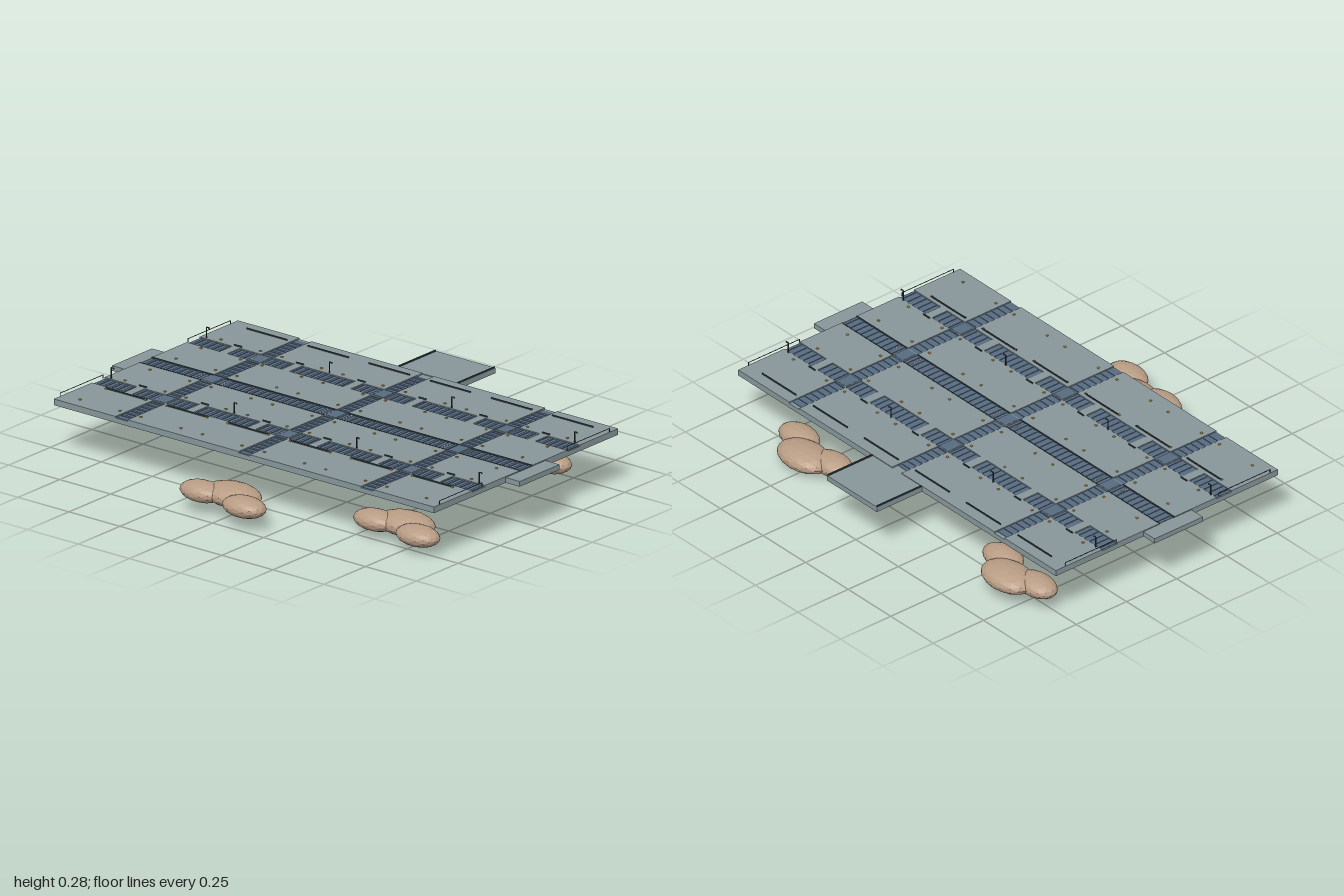
import * as THREE from 'three';

export function createModel() {
  const root = new THREE.Group();
  const mat = (name, color, flatShading = false) => {
    const m = new THREE.MeshStandardMaterial({ color, flatShading });
    m.name = name;
    return m;
  };
  const deck = mat('deck grey', 0x87969a);
  const blue = mat('channel blue', 0x566a80);
  const dark = mat('dark metal', 0x333e42);
  const gold = mat('lamp gold', 0xd9a441);
  const pale = mat('pale marking', 0xc8d0d2);
  const stone = mat('tan stone', 0xb89c84, true);

  const group = (name, parent = root) => {
    const g = new THREE.Group();
    g.name = name;
    parent.add(g);
    return g;
  };
  // box given by its limits on each axis
  const box = (parent, name, m, x0, x1, y0, y1, z0, z1) => {
    const mesh = new THREE.Mesh(new THREE.BoxGeometry(x1 - x0, y1 - y0, z1 - z0), m);
    mesh.position.set((x0 + x1) / 2, (y0 + y1) / 2, (z0 + z1) / 2);
    mesh.name = name;
    parent.add(mesh);
    return mesh;
  };

  const BOTTOM = 0.205, FLOOR = 0.224, TOP = 0.23;
  const X0 = -0.934, X1 = 0.931, Z0 = -0.546, Z1 = 0.56;

  // main slab, side landings and rear dock
  const platform = group('platform');
  box(platform, 'baseSlab', deck, X0, X1, BOTTOM, FLOOR, Z0, Z1);
  box(platform, 'rightLanding', deck, -1, X0, BOTTOM, 0.226, -0.11, 0.13);
  box(platform, 'leftLanding', deck, X1, 1, BOTTOM, 0.226, -0.11, 0.13);
  box(platform, 'rearDock', deck, -0.148, 0.145, BOTTOM, 0.227, -0.77, Z0);
  for (const x of [-0.146, 0.143])
    box(platform, 'dockCurb', dark, x - 0.003, x + 0.003, 0.226, 0.232, -0.768, Z0);

  // raised city blocks between the channels
  const blocks = group('blocks');
  const xs = [[X0, -0.632], [-0.573, -0.028], [0.028, 0.573], [0.632, X1]];
  const zs = [[Z0, -0.315], [-0.24, -0.03], [0.045, 0.255], [0.33, Z1]];
  for (const [a, b] of xs)
    for (const [c, d] of zs) box(blocks, 'block', deck, a, b, FLOOR, TOP, c, d);

  // channel floors with cross ribs
  const channels = group('channels');
  const roadX = [-0.6025, 0, 0.6025], roadZ = [-0.2775, 0.0075, 0.2925];
  for (const x of roadX) {
    box(channels, 'longChannel', blue, x - 0.0295, x + 0.0295, FLOOR, 0.2255, x ? -0.53 : -0.515, 0.555);
    for (let z = -0.5; z < 0.55; z += 0.03)
      box(channels, 'rib', blue, x - 0.028, x + 0.028, 0.2255, 0.228, z, z + 0.012);
  }
  for (const z of roadZ) {
    box(channels, 'crossChannel', blue, -0.928, 0.927, FLOOR, 0.2254, z - 0.0375, z + 0.0375);
    for (let x = -0.915; x < 0.92; x += 0.03)
      box(channels, 'rib', blue, x, x + 0.012, 0.2254, 0.2278, z - 0.036, z + 0.036);
  }
  for (const z of [-0.03, 0.045])
    for (const [a, b] of xs) box(channels, 'channelKerb', dark, a, b, FLOOR, 0.231, z - 0.002, z + 0.002);

  // framed crossings
  for (const x of roadX)
    for (const z of roadZ) {
      box(channels, 'crossingFrame', deck, x - 0.03, x + 0.03, FLOOR, 0.229, z - 0.038, z + 0.038);
      box(channels, 'crossingPanel', blue, x - 0.026, x + 0.026, 0.229, 0.23, z - 0.034, z + 0.034);
    }

  // small bridges with handrails
  const bridges = group('bridges');
  for (const x of [-0.755, -0.45, -0.15, 0.15, 0.45, 0.755])
    for (const z of [roadZ[0], roadZ[2]]) {
      box(bridges, 'bridge', deck, x - 0.019, x + 0.019, FLOOR, TOP, z - 0.0375, z + 0.0375);
      box(bridges, 'bridgeRail', dark, x - 0.018, x + 0.018, TOP, 0.235, z - 0.051, z - 0.047);
    }

  // white crosswalk stripes on the middle channel
  for (const x of [-0.665, -0.54, -0.058, 0.058, 0.54, 0.665])
    for (let i = 0; i < 4; i++) {
      const z = -0.017 + i * 0.015;
      box(channels, 'crosswalkStripe', pale, x - 0.004, x + 0.004, 0.2278, 0.229, z, z + 0.007);
    }

  // long handrails on the outer blocks
  const rails = group('handrails');
  for (const x of [-0.75, -0.45, -0.15, 0.15, 0.45, 0.75])
    for (const z of [-0.495, 0.348]) {
      box(rails, 'railBar', dark, x - 0.1, x + 0.1, TOP, 0.235, z - 0.002, z + 0.002);
    }
  for (const x of [X0 + 0.003, X1 - 0.003])
    for (const [a, b] of [[-0.497, -0.243], [0.268, 0.524]]) {
      box(rails, 'edgeRail', dark, x - 0.001, x + 0.001, 0.243, 0.245, a, b);
      for (const z of [a, b]) box(rails, 'edgeRailPost', dark, x - 0.001, x + 0.001, TOP, 0.245, z - 0.001, z + 0.001);
    }

  // deck lights
  const lights = group('deckLights');
  for (const x of [0.055, 0.25, 0.355, 0.55, 0.655, 0.85])
    for (const s of [-1, 1])
      for (const z of [-0.34, -0.22, -0.07, 0.085, 0.235, 0.35, 0.505])
        box(lights, 'deckLight', gold, s * x - 0.004, s * x + 0.004, TOP, 0.234, z - 0.004, z + 0.004);

  // lamp posts with a short arm
  for (const x of [-0.905, -0.302, 0.298, 0.9])
    for (const z of [-0.322, 0.25]) {
      const post = group('lampPost');
      box(post, 'pole', dark, x - 0.0018, x + 0.0018, TOP, 0.275, z - 0.0018, z + 0.0018);
      box(post, 'arm', dark, x, x + 0.013, 0.273, 0.276, z - 0.0018, z + 0.0018);
      box(post, 'lamp', gold, x + 0.009, x + 0.014, 0.27, 0.273, z - 0.002, z + 0.002);
    }

  // thruster pods below the slab
  const lathePart = (parent, name, m, pts) => {
    const mesh = new THREE.Mesh(
      new THREE.LatheGeometry(pts.map(([r, y]) => new THREE.Vector2(r, y)), 12), m);
    mesh.name = name;
    parent.add(mesh);
  };
  for (const x of [-0.755, -0.155, 0.45, 0.75])
    for (const z of [-0.39, 0.418]) {
      const pod = group('thruster');
      pod.position.set(x, 0, z);
      lathePart(pod, 'podBody', blue, [[0.025, 0.174], [0.025, 0.206]]);
      lathePart(pod, 'podRing', gold, [[0.024, 0.17], [0.0265, 0.17], [0.0265, 0.174], [0.024, 0.174]]);
      lathePart(pod, 'podNozzle', dark, [[0, 0.155], [0.012, 0.155], [0.024, 0.17]]);
    }

  // floating boulder clusters, three flattened lumps each
  const lump = new THREE.IcosahedronGeometry(1, 2);
  const lumps = [
    [0, 0, 0, 0.128, 0.045, 0.086],
    [-0.113, 0, 0.045, 0.098, 0.041, 0.064],
    [0.12, 0, 0.076, 0.097, 0.041, 0.064],
  ];
  for (const [x, y, z] of [[0, 0.083, 0.63], [-0.672, 0.083, -0.56], [0.525, 0.045, -0.56], [0.68, 0.066, 0.42]]) {
    const cluster = group('boulderCluster');
    cluster.position.set(x, y, z);
    for (const [px, py, pz, sx, sy, sz] of lumps) {
      const m = new THREE.Mesh(lump, stone);
      m.name = 'boulder';
      m.position.set(px, py, pz);
      m.scale.set(sx, sy, sz);
      cluster.add(m);
    }
  }
  return root;
}
